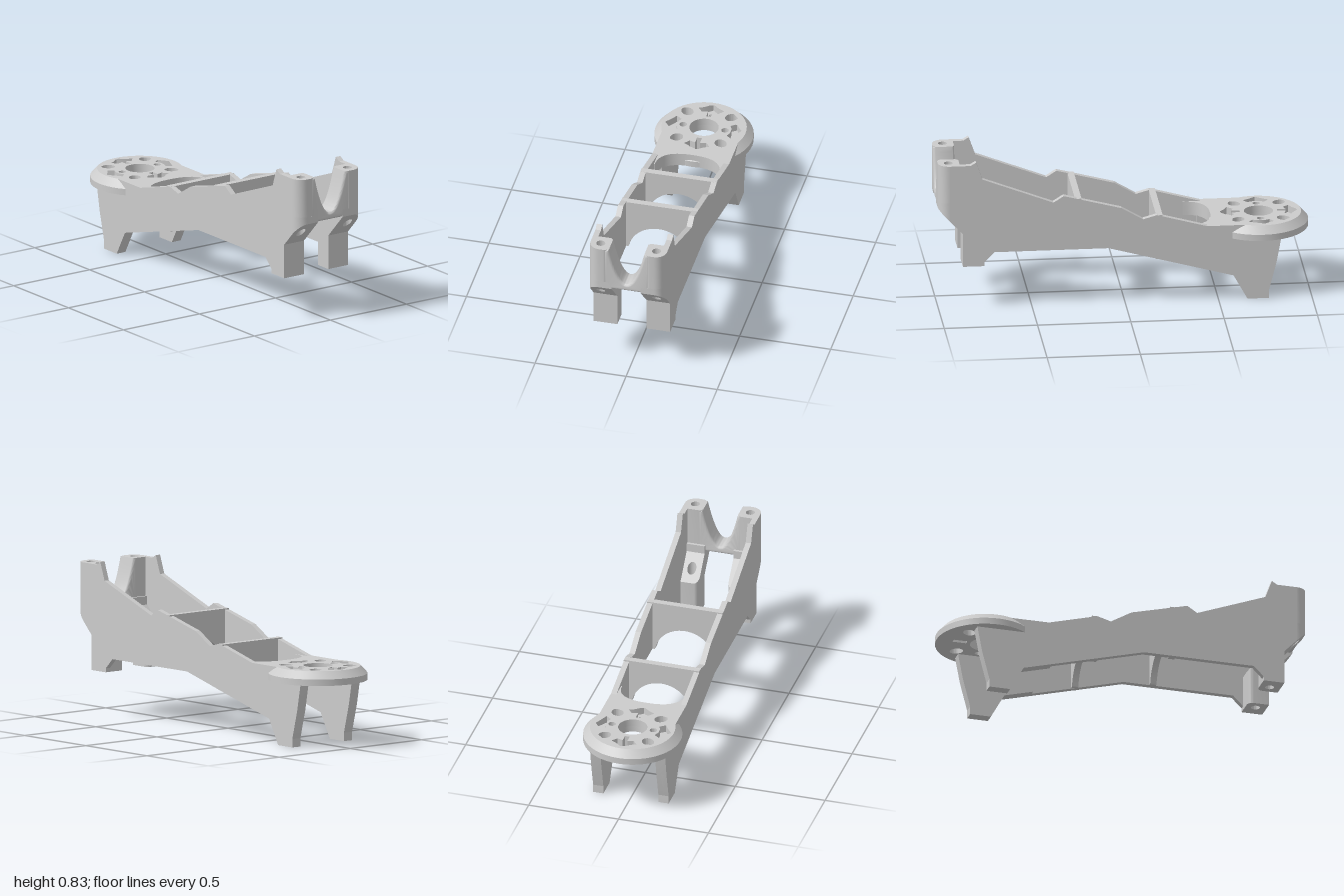
import * as THREE from 'three';
import { toCreasedNormals } from 'three/addons/utils/BufferGeometryUtils.js';

const material = new THREE.MeshStandardMaterial({ color: 0xcccccc });
const DISC_Z = -0.735, HALF = 0.21, WALL = 0.03;

function part(name, geometry, crease = 0.5) {
  const mesh = new THREE.Mesh(toCreasedNormals(geometry, crease), material);
  mesh.name = name;
  return mesh;
}

const polygon = pts => new THREE.Shape(pts.map(p => new THREE.Vector2(p[0], p[1])));

// Side profile given as [z, y], extruded along x from x0
function sideSlab(profile, x0, thickness) {
  const g = new THREE.ExtrudeGeometry(polygon(profile.map(([z, y]) => [-z, y])), { depth: thickness, bevelEnabled: false });
  return g.rotateY(Math.PI / 2).translate(x0, 0, 0);
}

// Plan shape (x, -z) raised between two heights, each a number or a function of z
function planSlab(shape, bottom, top) {
  const g = new THREE.ExtrudeGeometry(shape, { depth: 1, bevelEnabled: false, curveSegments: 24 });
  g.rotateX(-Math.PI / 2);
  const p = g.attributes.position;
  for (let i = 0; i < p.count; i++) {
    const h = p.getY(i) > 0.5 ? top : bottom;
    p.setY(i, typeof h === 'function' ? h(p.getZ(i)) : h);
  }
  return g;
}

// Rectangle in plan with a radius per corner: [outer front, inner front, inner back, outer back]
function cornerShape(s, xIn, xOut, zBack, zFront, radii, hole) {
  const corners = [[xOut, zFront, -1, -1], [xIn, zFront, 1, -1], [xIn, zBack, 1, 1], [xOut, zBack, -1, 1]];
  const pts = [];
  corners.forEach(([x, z, dx, dz], i) => {
    const r = radii[i];
    if (!r) { pts.push([s * x, -z]); return; }
    const arc = [];
    for (let k = 0; k <= 8; k++) {
      const a = k / 8 * Math.PI / 2;
      arc.push([s * (x + dx * r * (1 - Math.cos(a))), -(z + dz * r * (1 - Math.sin(a)))]);
    }
    pts.push(...(i % 2 ? arc.reverse() : arc));
  });
  const shape = polygon(pts);
  shape.holes.push(new THREE.Path().absellipse(s * hole[0], -hole[1], hole[2], hole[2], 0, Math.PI * 2));
  return shape;
}

// Bulkhead with an arch cut into its lower edge
function bulkhead(z, bottom, top, peak) {
  const r = 0.168, pts = [[HALF, bottom], [HALF, top], [-HALF, top], [-HALF, bottom]];
  for (let i = 0; i <= 32; i++) {
    const a = Math.PI * (1 - i / 32);
    pts.push([r * Math.cos(a), Math.max(bottom, peak - r + r * Math.sin(a))]);
  }
  return new THREE.ExtrudeGeometry(polygon(pts), { depth: 0.035, bevelEnabled: false }).translate(0, 0, z - 0.0175);
}

// Disc outline with its holes, in local coordinates about the disc centre
function discShape(recessed) {
  const shape = new THREE.Shape().absarc(0, 0, 0.265, 0, Math.PI * 2);
  const round = (x, y, rx, ry = rx, rot = 0) =>
    shape.holes.push(new THREE.Path().absellipse(x, y, rx, ry, 0, Math.PI * 2, false, rot));
  round(0, 0, 0.078);
  for (const s of [-1, 1]) {
    round(s * 0.115, 0, 0.02);
    for (const t of [-1, 1]) round(s * 0.121, t * 0.121, 0.037, 0.031, s * t * Math.PI / 4);
    if (!recessed) {
      shape.holes.push(polygon([[-0.013, s * 0.1], [0.013, s * 0.1], [0.013, s * 0.175], [-0.013, s * 0.175]]));
      continue;
    }
    // Pentagon pockets: front and back ones join a slot, side ones curve around a small hole
    shape.holes.push(polygon([[-0.013, 0.1], [0.013, 0.1], [0.013, 0.145], [0.045, 0.135], [0.07, 0.165],
      [0.04, 0.18], [0, 0.213], [-0.04, 0.18], [-0.07, 0.165], [-0.045, 0.135], [-0.013, 0.145]].map(([x, y]) => [x, s * y])));
    shape.holes.push(polygon([[0.135, 0.045], [0.165, 0.068], [0.182, 0.04], [0.213, 0], [0.182, -0.04],
      [0.165, -0.068], [0.135, -0.045], [0.147, -0.018], [0.147, 0.018]].map(([x, y]) => [s * x, y])));
  }
  return shape;
}

export function createModel() {
  const group = new THREE.Group();
  group.name = 'motorArm';

  // Side walls
  const wall = [[0.94, 0.81], [0.83, 0.81], [0.8, 0.828], [0.765, 0.73], [0.385, 0.585], [0.33, 0.62], [0.02, 0.54],
    [-0.095, 0.472], [-0.17, 0.493], [-0.44, 0.42], [-0.645, 0.42], [-0.645, 0.36], [-0.838, 0.36], [-0.81, 0.2],
    [-0.77, 0.045], [-0.77, 0], [-0.655, 0], [-0.58, 0.135], [0.09, 0.315], [0.7, 0.315], [0.755, 0.26],
    [0.755, 0.238], [0.87, 0.238], [0.87, 0.425], [0.94, 0.498]];
  // Thicker inner faces of the rear legs
  const leg = [[-0.42, 0.35], [-0.838, 0.35], [-0.81, 0.2], [-0.77, 0.045], [-0.77, 0], [-0.655, 0],
    [-0.58, 0.135], [-0.42, 0.178]];
  const under = z => 0.56 + (z - 1) * 1.04;
  const over = z => 0.43 + (z - 0.755) * 1.08;

  for (const s of [1, -1]) {
    const side = s > 0 ? 'left' : 'right';
    group.add(part(side + 'Wall', sideSlab(wall, s > 0 ? HALF - WALL : -HALF, WALL), 0.1));
    group.add(part(side + 'Leg', sideSlab(leg, s > 0 ? 0.153 : -HALF, 0.057), 0.1));
    // Front screw post, its sloping base and the lower foot behind it
    const hole = [0.153, 0.943, 0.024];
    group.add(part(side + 'FrontPost',
      planSlab(cornerShape(s, 0.097, HALF, 0.885, 1, [0.06, 0.03, 0.02, 0], hole), 0.6, 0.81)));
    group.add(part(side + 'PostBase',
      planSlab(cornerShape(s, 0.08, HALF, 0.87, 1, [0.06, 0, 0, 0], hole), under, 0.6)));
    group.add(part(side + 'Foot',
      planSlab(cornerShape(s, 0.08, HALF, 0.755, 0.87, [0, 0, 0.03, 0], [0.133, 0.81, 0.024]), 0.238, over)));
  }

  // Front saddle with a curved notch and softened edges
  const notch = [[-0.125, 0.56], [0.125, 0.56], [0.125, 0.81]];
  for (let i = 0; i <= 32; i++) {
    const x = 0.097 * (1 - i / 16);
    notch.push([x, 0.6 + 0.21 * (x / 0.097) ** 2]);
  }
  notch.push([-0.125, 0.81]);
  const saddle = new THREE.ExtrudeGeometry(polygon(notch), {
    depth: 0.085, bevelThickness: 0.015, bevelSize: 0.015, bevelOffset: -0.015, bevelSegments: 4
  });
  group.add(part('frontSaddle', saddle.translate(0, 0, 0.9), 0.7));

  // Cross bulkheads
  group.add(part('frontBulkhead', bulkhead(0.252, 0.315, 0.602, 0.455)));
  group.add(part('rearBulkhead', bulkhead(-0.183, 0.243, 0.492, 0.38)));

  // Motor disc: drilled lower plate and a pocketed upper plate with a bevelled rim
  group.add(part('discLower', planSlab(discShape(false), 0.345, 0.38).translate(0, 0, DISC_Z)));
  const upper = planSlab(discShape(true), 0.38, 0.42);
  const p = upper.attributes.position;
  for (let i = 0; i < p.count; i++) {
    const r = Math.hypot(p.getX(i), p.getZ(i));
    if (r > 0.26 && p.getY(i) > 0.41) p.setXYZ(i, p.getX(i) * 0.228 / r, 0.42, p.getZ(i) * 0.228 / r);
  }
  group.add(part('discUpper', upper.translate(0, 0, DISC_Z)));

  // Deck joining the disc to the walls, with a rounded front cutout
  const deck = [];
  for (let i = 0; i <= 24; i++) {
    const x = 0.185 * (i / 12 - 1);
    deck.push([x, -(DISC_Z + Math.sqrt(0.226 ** 2 - x * x))]);
  }
  deck.push([0.185, 0.345]);
  for (let i = 0; i <= 24; i++) {
    const a = Math.PI * i / 24, c = Math.cos(a);
    deck.push([0.175 * Math.sign(c) * Math.abs(c) ** 0.8, 0.345 + 0.13 * Math.sin(a) ** 0.8]);
  }
  deck.push([-0.185, 0.345]);
  group.add(part('deck', planSlab(polygon(deck), 0.345, 0.42)));

  return group;
}
